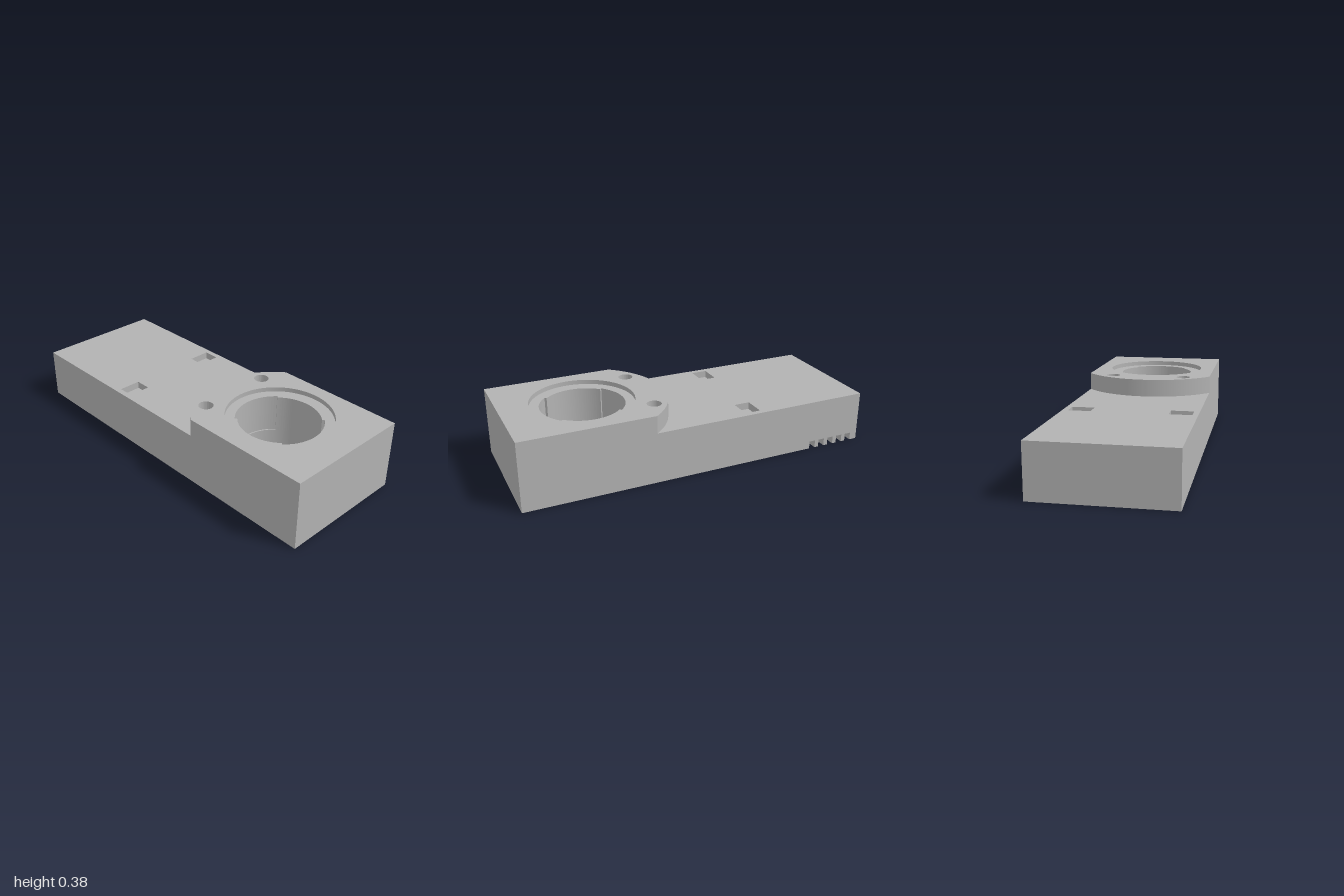
import * as THREE from 'three';
import { toCreasedNormals } from 'three/addons/utils/BufferGeometryUtils.js';

// Plan shapes use (x, -z); layers are extruded upwards.
const W = 0.363, WALL = 0.06, CEIL = 0.15, DECK = 0.287, TOP = 0.385;
const CZ = 0.553; // z of the round opening

function trace(path, pts) {
  pts.forEach(([x, y], i) => (i ? path.lineTo(x, y) : path.moveTo(x, y)));
  path.closePath();
  return path;
}
const rect = (path, x0, x1, z0, z1) => trace(path, [[x0, -z1], [x1, -z1], [x1, -z0], [x0, -z0]]);
const circle = (path, x, z, r) => path.absarc(x, -z, r, 0, Math.PI * 2, false);

// Bore with two wider quarter slots towards the front and back
function slottedBore() {
  const p = new THREE.Path();
  const q = Math.PI / 4;
  p.moveTo(0.217 * Math.cos(q), -CZ - 0.217 * Math.sin(q));
  for (let i = 0; i < 4; i++) {
    p.absarc(0, -CZ, i % 2 ? 0.23 : 0.217, (2 * i - 1) * q, (2 * i + 1) * q, false);
  }
  p.closePath();
  return p;
}

// Raised pad outline: straight sides and front, rounded back
function padShape() {
  const s = new THREE.Shape(), r = 0.458, a = Math.acos(W / r);
  s.moveTo(-W, -1);
  s.lineTo(W, -1);
  s.absarc(0, -CZ, r, a, Math.PI - a, false);
  s.closePath();
  return s;
}

export function createModel() {
  const group = new THREE.Group();
  const grey = new THREE.MeshStandardMaterial({ color: 0xb2b2b2 });
  grey.name = 'plain grey';

  const add = (name, geometry) => {
    const mesh = new THREE.Mesh(toCreasedNormals(geometry, 0.5), grey);
    mesh.name = name;
    group.add(mesh);
  };
  const layer = (name, shape, holes, y0, y1) => {
    shape.holes.push(...holes);
    const g = new THREE.ExtrudeGeometry(shape, { depth: y1 - y0, bevelEnabled: false, curveSegments: 48 });
    g.rotateX(-Math.PI / 2).translate(0, y0, 0);
    add(name, g);
  };

  // Front, left-over side and back walls as one C-shaped run
  const inner = W - WALL, end = 1 - WALL;
  layer('walls', trace(new THREE.Shape(), [
    [-W, -1], [inner, -1], [inner, -end], [-inner, -end],
    [-inner, end], [inner, end], [inner, 1], [-W, 1],
  ]), [], 0, CEIL);

  // Side wall with five vent notches along its bottom edge
  const outline = [[-1, 0]];
  for (let i = 0; i < 5; i++) {
    const a = 0.674 + i * 0.0615, b = a + 0.037;
    outline.push([a, 0], [a, 0.043], [b, 0.043], [b, 0]);
  }
  outline.push([1, 0], [1, CEIL], [-1, CEIL]);
  const side = new THREE.ExtrudeGeometry(trace(new THREE.Shape(), outline), { depth: WALL, bevelEnabled: false });
  side.rotateY(Math.PI / 2).translate(inner, 0, 0);
  add('notchedWall', side);

  // Round collar hanging below the deck
  layer('collar', circle(new THREE.Shape(), 0, CZ, 0.286),
    [circle(new THREE.Path(), 0, CZ, 0.223)], 0, CEIL);

  // Deck, with two shallow rectangular pockets in its upper layer
  const pocketFloor = DECK - 0.04;
  const pockets = [-1, 1].map((s) => rect(new THREE.Path(), s * 0.27 - 0.062, s * 0.27 + 0.062, -0.35, -0.26));
  layer('deckBase', rect(new THREE.Shape(), -W, W, -1, 1), [slottedBore()], CEIL, pocketFloor);
  layer('deckTop', rect(new THREE.Shape(), -W, W, -1, 1), [slottedBore(), ...pockets], pocketFloor, DECK);

  // Raised pad with screw holes and a recessed ring around the bore
  const screws = () => [-1, 1].map((s) => circle(new THREE.Path(), s * 0.211, 0.226, 0.04));
  const screwFloor = TOP - 0.05, recess = TOP - 0.025;
  layer('padBase', padShape(), [slottedBore()], DECK, screwFloor);
  layer('padMiddle', padShape(), [slottedBore(), ...screws()], screwFloor, recess);
  layer('padTop', padShape(), [circle(new THREE.Path(), 0, CZ, 0.283), ...screws()], recess, TOP);

  return group;
}
